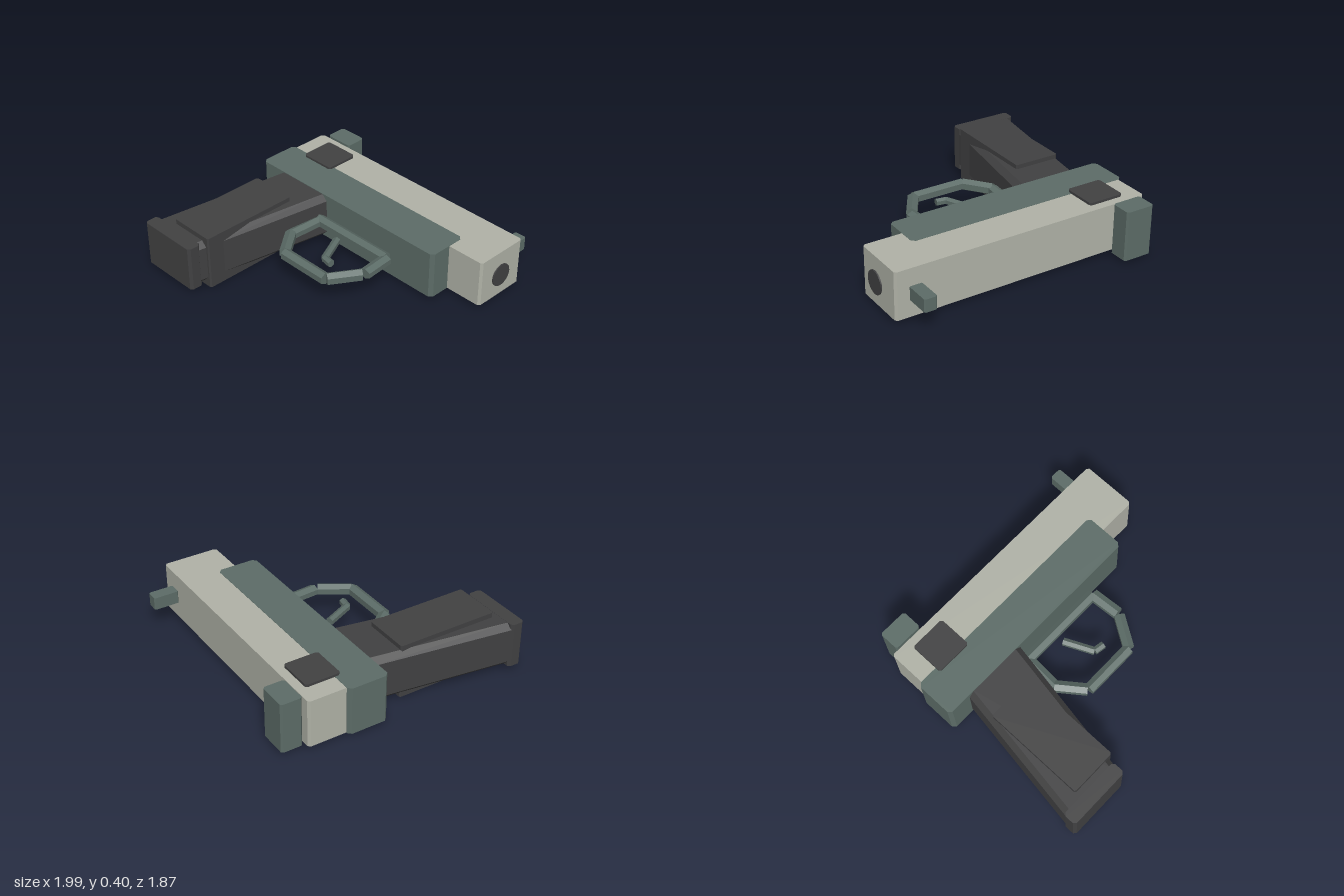
import * as THREE from 'three';

const MID = 0.202; // height of the symmetry plane

export function createModel() {
  const model = new THREE.Group();
  const paint = (name, color) => {
    const m = new THREE.MeshStandardMaterial({ color });
    m.name = name;
    return m;
  };
  const teal = paint('greyGreen', 0x5c6c67);
  const pale = paint('paleGrey', 0xb0b2a7);
  const dark = paint('charcoal', 0x414142);

  const add = (name, geometry, material, parent = model) => {
    const mesh = new THREE.Mesh(geometry, material);
    mesh.name = name;
    parent.add(mesh);
    return mesh;
  };

  // Rectangle with its four corners cut off
  const cutRect = (x0, x1, y0, y1, c) => new THREE.Shape([
    [x0 + c, y0], [x1 - c, y0], [x1, y0 + c], [x1, y1 - c],
    [x1 - c, y1], [x0 + c, y1], [x0, y1 - c], [x0, y0 + c],
  ].map(([x, y]) => new THREE.Vector2(x, y)));

  // Block with cut vertical edges, centred on the symmetry plane
  const block = (name, x0, x1, z0, z1, height, cut, material) => {
    const g = new THREE.ExtrudeGeometry(cutRect(x0, x1, -z1, -z0, cut),
      { depth: height, bevelEnabled: false });
    g.rotateX(-Math.PI / 2);
    g.translate(0, MID - height / 2, 0);
    return add(name, g, material);
  };

  // Six-sided rod between two points [x, z], with an edge facing up
  const rod = (name, a, b, halfWidth, halfHeight, parent) => {
    const dx = b[0] - a[0], dz = b[1] - a[1];
    let g = new THREE.CylinderGeometry(1, 1, Math.hypot(dx, dz), 6);
    g.rotateZ(-Math.PI / 2);
    g.rotateX(Math.PI / 2);
    g.scale(1, halfHeight, halfWidth / 0.866);
    g = g.toNonIndexed();
    g.computeVertexNormals();
    g.rotateY(Math.atan2(-dz, dx));
    g.translate((a[0] + b[0]) / 2, MID, (a[1] + b[1]) / 2);
    return add(name, g, teal, parent);
  };

  // Body
  block('slide', -0.97, 0.972, -0.755, -0.343, 0.348, 0.016, pale);
  block('frame', -1, 0.685, -0.478, -0.178, 0.352, 0.025, teal);
  block('rearSight', -0.92, -0.70, -0.92, -0.765, 0.367, 0.014, teal);
  block('frontSight', 0.78, 0.872, -0.94, -0.75, 0.094, 0.01, teal);
  block('sidePlates', -0.835, -0.565, -0.69, -0.435, 0.384, 0.014, dark);

  // Muzzle disc
  const muzzle = new THREE.CylinderGeometry(0.084, 0.084, 0.009, 24);
  muzzle.rotateZ(-Math.PI / 2);
  muzzle.translate(0.99, MID + 0.002, -0.53);
  add('muzzle', muzzle, dark);

  // Grip: eight-sided bar, sheared backwards and tapering slightly
  const grip = new THREE.ExtrudeGeometry(cutRect(-0.245, 0.245, -0.172, 0.172, 0.042),
    { depth: 1.04, bevelEnabled: false });
  const p = grip.attributes.position;
  for (let i = 0; i < p.count; i++) {
    const t = p.getZ(i) / 1.04;
    p.setXYZ(i, p.getX(i) * (1 - 0.05 * t) - 0.572 - 0.163 * t,
      p.getY(i) * (1 - 0.04 * t) + MID, p.getZ(i) - 0.19);
  }
  grip.computeVertexNormals();
  add('grip', grip, dark);
  block('gripPanels', -0.82, -0.47, 0.04, 0.79, 0.404, 0.01, dark);
  block('gripBase', -0.975, -0.5, 0.83, 0.932, 0.333, 0.018, dark);

  // Trigger guard
  const guard = new THREE.Group();
  guard.name = 'triggerGuard';
  model.add(guard);
  const w = 0.038, h = 0.045;
  rod('guardTop', [-0.34, -0.113], [0.325, -0.113], w, h, guard);
  rod('guardFront', [0.329, -0.11], [0.345, 0.113], 0.041, 0.038, guard);
  rod('guardFrontSlope', [0.337, 0.133], [0.207, 0.337], w, h, guard);
  rod('guardBottom', [-0.2, 0.342], [0.2, 0.342], w, h, guard);
  rod('guardRearSlope', [-0.345, 0.155], [-0.207, 0.337], w, h, guard);
  rod('guardRear', [-0.343, 0.163], [-0.328, -0.105], 0.038, 0.038, guard);

  // Trigger
  const trigger = new THREE.Group();
  trigger.name = 'trigger';
  model.add(trigger);
  rod('triggerLever', [-0.067, -0.024], [0.03, 0.183], 0.025, 0.029, trigger);
  rod('triggerTip', [0.03, 0.183], [0.105, 0.196], 0.024, 0.028, trigger);

  return model;
}
